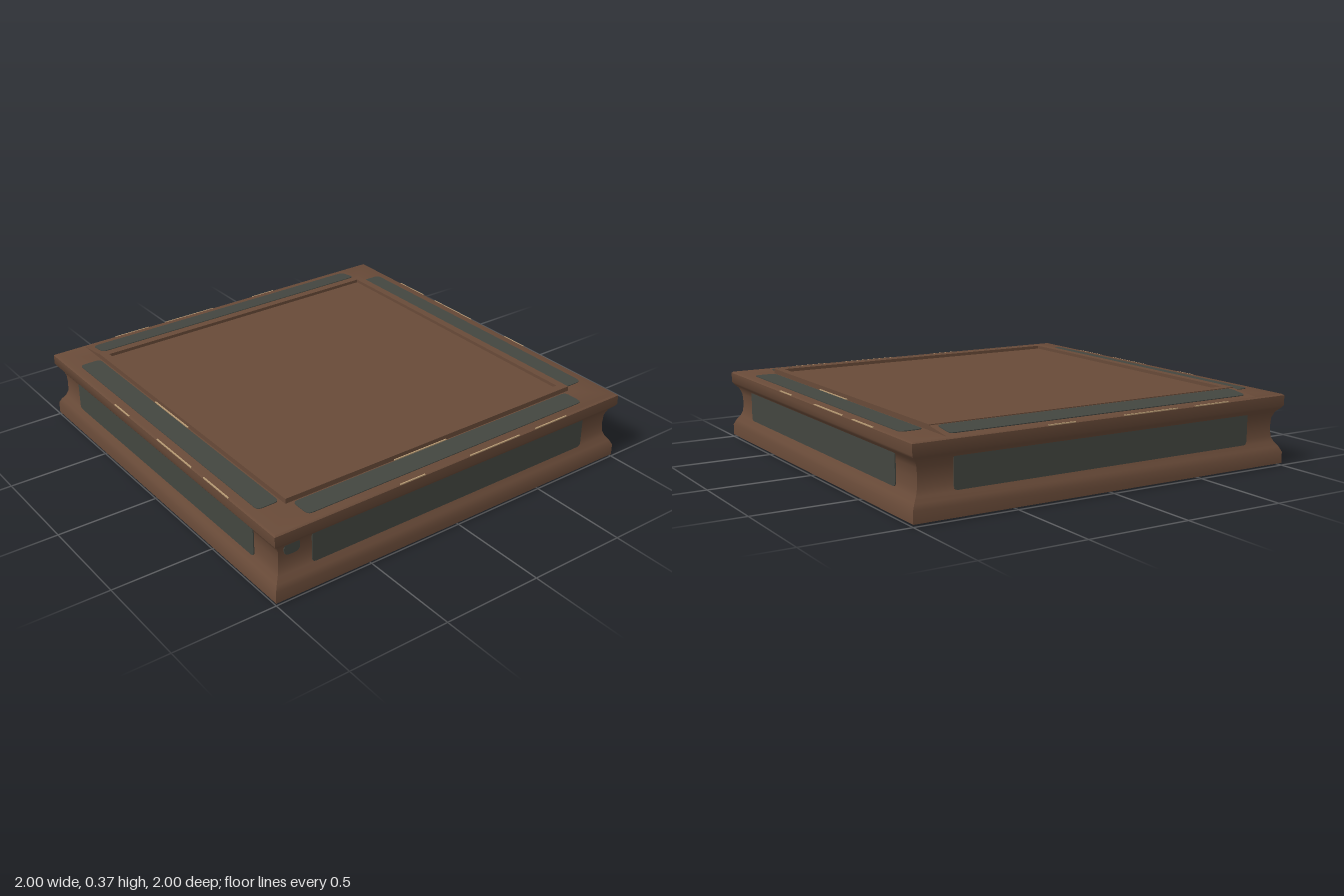
import * as THREE from 'three';
import { toCreasedNormals } from 'three/addons/utils/BufferGeometryUtils.js';

export function createModel() {
  const model = new THREE.Group();
  model.name = 'squarePedestal';
  const brown = new THREE.MeshStandardMaterial({ name: 'brown', color: 0x684a38 });
  const slate = new THREE.MeshStandardMaterial({ name: 'slate', color: 0x434640 });
  const beige = new THREE.MeshStandardMaterial({ name: 'wornBeige', color: 0xb89b74 });

  const add = (parent, name, geometry, material, x = 0, y = 0, z = 0) => {
    const mesh = new THREE.Mesh(geometry, material);
    mesh.name = name;
    mesh.position.set(x, y, z);
    parent.add(mesh);
    return mesh;
  };

  // Thin plate with softly rounded corners, facing +z
  const plate = (w, h, r) => {
    const s = new THREE.Shape();
    const a = w / 2, b = h / 2;
    s.moveTo(-a + r, -b);
    s.lineTo(a - r, -b).quadraticCurveTo(a, -b, a, -b + r);
    s.lineTo(a, b - r).quadraticCurveTo(a, b, a - r, b);
    s.lineTo(-a + r, b).quadraticCurveTo(-a, b, -a, b - r);
    s.lineTo(-a, -b + r).quadraticCurveTo(-a, -b, -a + r, -b);
    return new THREE.ExtrudeGeometry(s, { depth: 0.005, bevelEnabled: false, curveSegments: 3 });
  };

  // Square moulded slab: half-width and height pairs swept round four sides
  const profile = [
    [0, 0], [0.9, 0], [0.97, 0.008], [1, 0.01], [1, 0.065], [0.988, 0.09], [0.97, 0.115],
    [0.96, 0.14], [0.957, 0.185], [0.96, 0.23], [0.972, 0.26], [0.99, 0.278], [1, 0.292],
    [1, 0.34], [0.992, 0.346], [0.83, 0.346], [0.83, 0.37], [0.79, 0.37], [0.79, 0.354], [0, 0.354],
  ].map(([r, y]) => new THREE.Vector2(r * Math.SQRT2, y));
  const slab = new THREE.LatheGeometry(profile, 4, Math.PI / 4);
  add(model, 'mouldedSlab', toCreasedNormals(slab, 0.65), brown);

  // Sloping left-hand rim that climbs to the raised border
  const wedge = new THREE.Shape([
    new THREE.Vector2(-0.99, 0.345), new THREE.Vector2(-0.8, 0.345), new THREE.Vector2(-0.8, 0.37),
  ]);
  add(model, 'slopingRim', new THREE.ExtrudeGeometry(wedge, { depth: 1.66, bevelEnabled: false }),
    brown, 0, 0, -0.83);

  // Inlaid strips and worn edges, repeated on each side
  ['front', 'left', 'back', 'right'].forEach((side, i) => {
    const group = new THREE.Group();
    group.name = side + 'Trim';
    group.rotation.y = i * Math.PI / 2;
    model.add(group);

    add(group, 'sideInlay', plate(1.59, 0.16, 0.02), slate, 0, 0.197, 0.968);

    const top = add(group, 'rimInlay', plate(1.6, 0.11, 0.025), slate, 0, 0.3445, 0.895);
    top.rotation.x = -Math.PI / 2;
    if (side === 'right') {
      top.rotation.x += 0.131;
      top.position.y = 0.356;
    }

    const chips = [[-0.28, 0.14], [0.2, 0.3], [0.55, 0.2]];
    for (const [x, w] of chips) {
      add(group, 'wornEdge', new THREE.BoxGeometry(w, 0.007, 0.008), beige, x, 0.342, 0.995);
    }
    if (side !== 'right') {
      add(group, 'wornBorder', new THREE.BoxGeometry(0.3, 0.007, 0.008), beige, -0.1, 0.348, 0.832);
    }
  });

  // Small patch beside the inlay on the left side
  const patch = add(model, 'sidePatch', plate(0.08, 0.06, 0.025), slate, 0.965, 0.235, 0.895);
  patch.rotation.y = Math.PI / 2;

  // Dark square frame under the base
  const frame = new THREE.Shape();
  frame.moveTo(-0.95, -0.95).lineTo(0.95, -0.95).lineTo(0.95, 0.95).lineTo(-0.95, 0.95);
  const hole = new THREE.Path();
  hole.moveTo(-0.85, -0.85).lineTo(-0.85, 0.85).lineTo(0.85, 0.85).lineTo(0.85, -0.85);
  frame.holes.push(hole);
  const under = add(model, 'baseFrame',
    new THREE.ExtrudeGeometry(frame, { depth: 0.008, bevelEnabled: false }), slate, 0, 0.007, 0);
  under.rotation.x = Math.PI / 2;

  return model;
}
